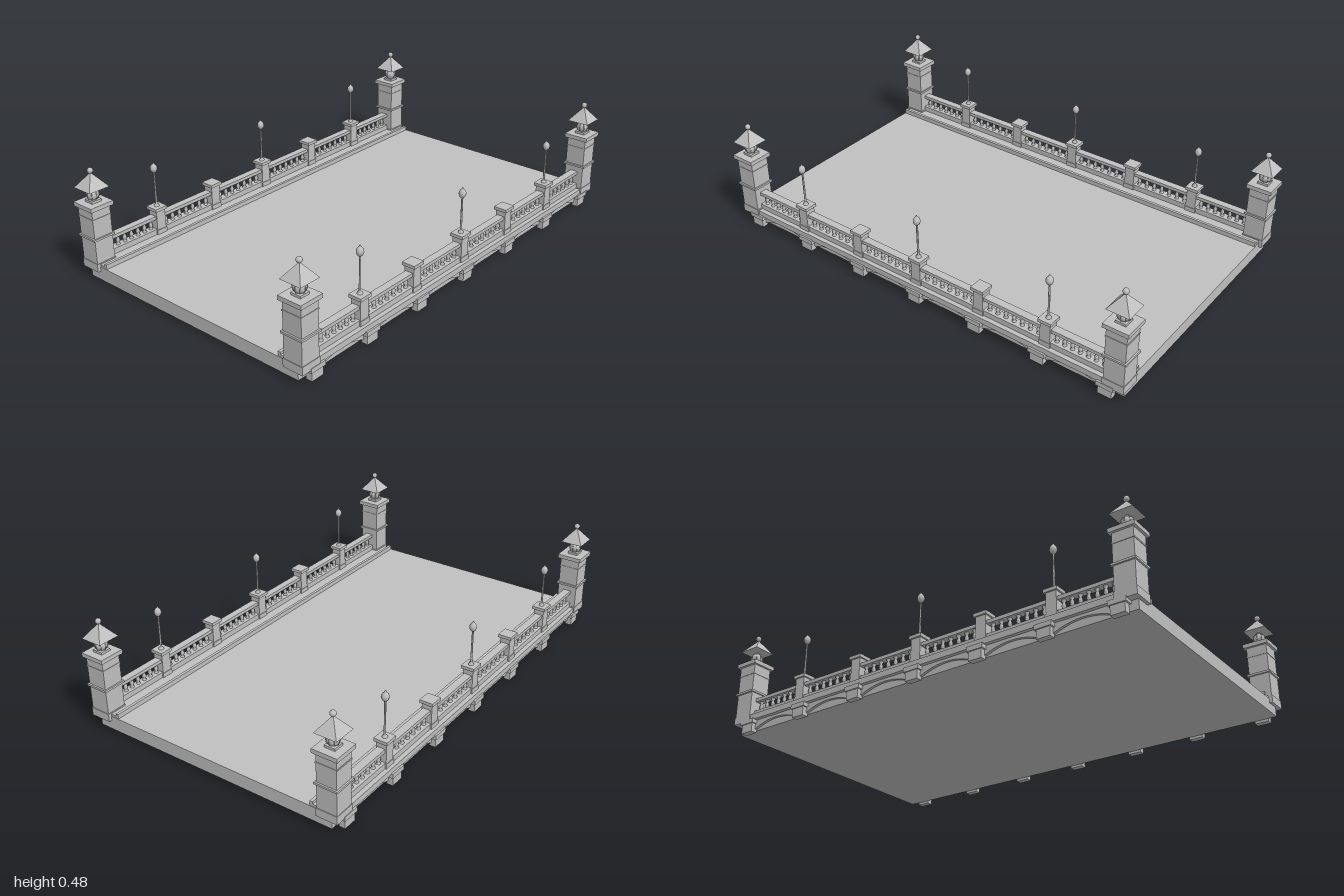
import * as THREE from 'three';

const stone = new THREE.MeshStandardMaterial({ color: 0xc0c0c0 });
stone.name = 'stone grey';

function add(parent, name, geometry, x = 0, y = 0, z = 0) {
  const mesh = new THREE.Mesh(geometry, stone);
  mesh.name = name;
  mesh.position.set(x, y, z);
  parent.add(mesh);
  return mesh;
}

// Box standing between heights y0 and y1
function block(parent, name, w, y0, y1, d, x = 0, z = 0) {
  return add(parent, name, new THREE.BoxGeometry(w, y1 - y0, d), x, (y0 + y1) / 2, z);
}

function lathe(points, segments) {
  return new THREE.LatheGeometry(points.map(([r, y]) => new THREE.Vector2(r, y)), segments);
}

const balusterShape = lathe([
  [0.009, 0.103], [0.009, 0.108], [0.005, 0.111], [0.009, 0.12],
  [0.0085, 0.126], [0.005, 0.139], [0.009, 0.143], [0.009, 0.15],
], 8);

function cornerTower(x, z) {
  const tower = new THREE.Group();
  tower.name = 'cornerTower';
  tower.position.set(x, 0, z);
  block(tower, 'towerBase', 0.093, 0.05, 0.085, 0.093);
  block(tower, 'towerShaft', 0.088, 0.07, 0.322, 0.088);
  block(tower, 'middleBand', 0.102, 0.188, 0.197, 0.102);
  block(tower, 'upperBand', 0.092, 0.276, 0.282, 0.092);
  block(tower, 'towerCap', 0.11, 0.32, 0.338, 0.11);
  block(tower, 'lanternFoot', 0.046, 0.338, 0.348, 0.046);
  // Ribbed globe lantern
  add(tower, 'globe', new THREE.SphereGeometry(0.026, 16, 12), 0, 0.369, 0);
  for (let i = 0; i < 4; i++) {
    const rib = add(tower, 'globeRib', new THREE.TorusGeometry(0.0265, 0.0016, 4, 20), 0, 0.369, 0);
    rib.rotation.y = i * Math.PI / 4;
  }
  add(tower, 'lanternStem', new THREE.CylinderGeometry(0.008, 0.008, 0.012, 8), 0, 0.397, 0);
  // Four-sided roof and finial
  const roof = new THREE.ConeGeometry(0.049 * Math.SQRT2, 0.063, 4).toNonIndexed();
  roof.rotateY(Math.PI / 4);
  roof.computeVertexNormals();
  add(tower, 'pyramidRoof', roof, 0, 0.4315, 0);
  add(tower, 'finial', new THREE.SphereGeometry(0.0125, 12, 8), 0, 0.471, 0);
  return tower;
}

function lampPost(x, z) {
  const lamp = new THREE.Group();
  lamp.name = 'lampPost';
  lamp.position.set(x, 0, z);
  add(lamp, 'lampPole', lathe([[0.012, 0.2], [0.01, 0.206], [0.0045, 0.212], [0.004, 0.36]], 8));
  add(lamp, 'lampBulb', lathe([
    [0.004, 0.353], [0.011, 0.359], [0.0155, 0.37], [0.0145, 0.38],
    [0.009, 0.389], [0.004, 0.393], [0.003, 0.398], [0, 0.4],
  ], 12));
  return lamp;
}

// Fascia panel with a shallow arched underside
function archPanel(x0, x1) {
  const shape = new THREE.Shape();
  shape.moveTo(x0, 0.056);
  shape.lineTo(x0, 0.014);
  shape.quadraticCurveTo((x0 + x1) / 2, 0.07, x1, 0.014);
  shape.lineTo(x1, 0.056);
  shape.closePath();
  return new THREE.ExtrudeGeometry(shape, { depth: 0.016, bevelEnabled: false, curveSegments: 12 });
}

// One parapet, running along the +z edge
function parapet() {
  const side = new THREE.Group();
  side.name = 'parapet';
  const z = 0.56;
  block(side, 'walkway', 1.95, 0.06, 0.08, 0.1, 0, 0.53);
  block(side, 'curb', 1.95, 0.06, 0.09, 0.013, 0, 0.481);
  block(side, 'cornice', 1.95, 0.054, 0.08, 0.035, 0, 0.5825);
  block(side, 'plinth', 1.8, 0.078, 0.104, 0.04, 0, z);
  block(side, 'handrail', 1.8, 0.148, 0.163, 0.034, 0, z);

  // Brackets and the arches between them
  const brackets = [-0.91, -0.607, -0.305, 0, 0.305, 0.607, 0.91];
  brackets.forEach((x, i) => {
    block(side, 'bracket', 0.06, 0, 0.04, 0.028, x, 0.589);
    block(side, 'bracketHead', 0.075, 0.038, 0.058, 0.036, x, 0.59);
    if (i) add(side, 'archPanel', archPanel(brackets[i - 1] + 0.028, x - 0.028), 0, 0, 0.568);
  });

  // Posts, with lamps on every second one
  const posts = [-0.63, -0.315, 0, 0.315, 0.63];
  posts.forEach((x, i) => {
    block(side, 'postBase', 0.052, 0.078, 0.1, 0.052, x, z);
    block(side, 'post', 0.046, 0.08, 0.19, 0.046, x, z);
    block(side, 'postCap', 0.06, 0.186, 0.2, 0.06, x, z);
    if (i % 2 === 0) side.add(lampPost(x, z));
  });

  // Turned balusters in each bay
  const stops = [-0.92, ...posts, 0.92];
  for (let b = 0; b < stops.length - 1; b++) {
    const x0 = stops[b] + 0.023;
    const x1 = stops[b + 1] - 0.023;
    const count = 7;
    for (let i = 0; i < count; i++) {
      add(side, 'baluster', balusterShape, x0 + (x1 - x0) * (i + 0.5) / count, 0, z);
    }
  }
  for (const x of [-0.944, 0.944]) side.add(cornerTower(x, 0.559));
  return side;
}

export function createModel() {
  const model = new THREE.Group();
  model.name = 'balustradeBridge';
  block(model, 'deck', 1.954, 0.01, 0.07, 1.145);
  const front = parapet();
  const back = parapet();
  front.name = 'frontParapet';
  back.name = 'backParapet';
  back.rotation.y = Math.PI;
  model.add(front, back);
  return model;
}
